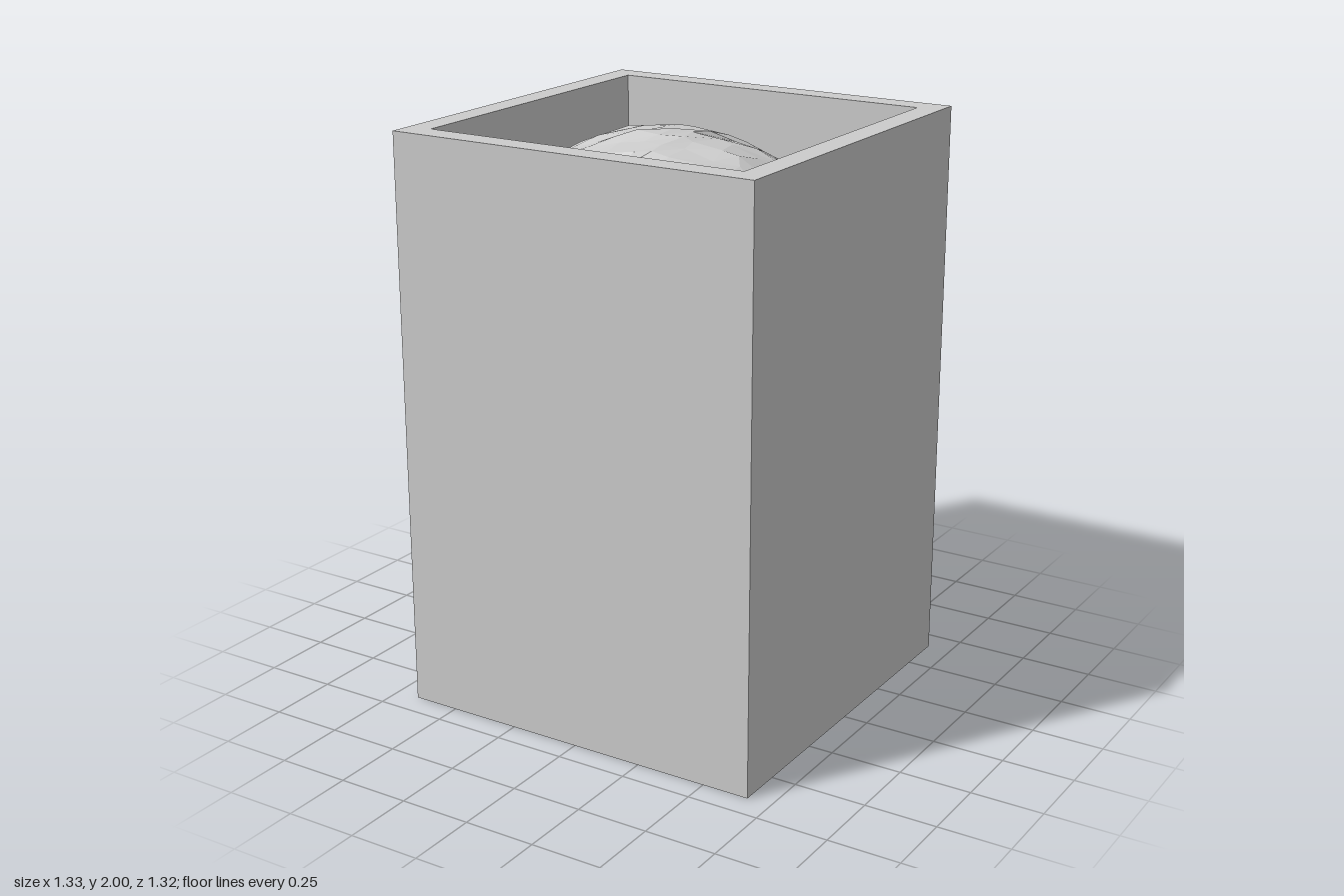
import * as THREE from 'three';

const W = 0.665, D = 0.66;      // outer half width and half depth
const IW = 0.58, ID = 0.573;    // inner half width and half depth
const FLOOR = 0.08;

// Heights of the lumpy filling: columns run along x, rows along z, from -0.6 to 0.6
const HEIGHTS = [
  [1.60, 1.70, 1.74, 1.74, 1.68, 1.62, 1.52],
  [1.68, 1.86, 1.86, 1.85, 1.80, 1.72, 1.58],
  [1.74, 1.89, 1.93, 1.93, 1.88, 1.80, 1.63],
  [1.77, 1.87, 1.93, 1.95, 1.92, 1.80, 1.64],
  [1.74, 1.84, 1.90, 1.91, 1.87, 1.77, 1.60],
  [1.64, 1.73, 1.77, 1.78, 1.74, 1.66, 1.52],
  [1.50, 1.56, 1.60, 1.60, 1.57, 1.52, 1.42],
];

function heightAt(x, z) {
  const u = THREE.MathUtils.clamp((x + 0.6) * 5, 0, 5.999);
  const v = THREE.MathUtils.clamp((z + 0.6) * 5, 0, 5.999);
  const i = Math.floor(u), j = Math.floor(v);
  const row = (r) => THREE.MathUtils.lerp(HEIGHTS[r][i], HEIGHTS[r][i + 1], u - i);
  return THREE.MathUtils.lerp(row(j), row(j + 1), v - j);
}

function seeded(seed) {
  return () => {
    seed = (seed * 16807) % 2147483647;
    return seed / 2147483647 - 0.5;
  };
}

function rectangle(path, w, d) {
  path.moveTo(-w, -d);
  path.lineTo(w, -d);
  path.lineTo(w, d);
  path.lineTo(-w, d);
  path.closePath();
  return path;
}

// Faceted mound: a jittered grid lifted to the height rule, its rim tucked into the walls
function moundGeometry() {
  const n = 14, size = 1.2, step = size / n;
  const random = seeded(71);
  const plane = new THREE.PlaneGeometry(size, size, n, n).rotateX(-Math.PI / 2);
  const pos = plane.attributes.position;
  for (let k = 0; k < pos.count; k++) {
    let x = pos.getX(k), z = pos.getZ(k);
    const dx = random() * step * 0.7, dz = random() * step * 0.7, dy = random() * 0.02;
    if (Math.abs(x) < size / 2 - 0.01) x += dx;
    if (Math.abs(z) < size / 2 - 0.01) z += dz;
    pos.setXYZ(k, x, heightAt(x, z) + dy, z);
  }
  const geometry = plane.toNonIndexed();
  geometry.computeVertexNormals();
  return geometry;
}

export function createModel() {
  const group = new THREE.Group();
  const grey = new THREE.MeshStandardMaterial({ color: 0xcccccc, flatShading: true });
  const add = (name, geometry, material = grey) => {
    const mesh = new THREE.Mesh(geometry, material);
    mesh.name = name;
    group.add(mesh);
    return mesh;
  };

  // Four walls as one hollow square tube
  const outline = rectangle(new THREE.Shape(), W, D);
  outline.holes.push(rectangle(new THREE.Path(), IW, ID));
  const walls = new THREE.ExtrudeGeometry(outline, { depth: 2, bevelEnabled: false });
  add('boxWalls', walls.rotateX(-Math.PI / 2));

  // Floor plate closing the bottom between the walls
  add('boxFloor', new THREE.BoxGeometry(IW * 2, FLOOR, ID * 2)).position.y = FLOOR / 2;

  // Lumpy filling
  const filling = grey.clone();
  filling.side = THREE.DoubleSide;
  add('lumpyFilling', moundGeometry(), filling);

  return group;
}
